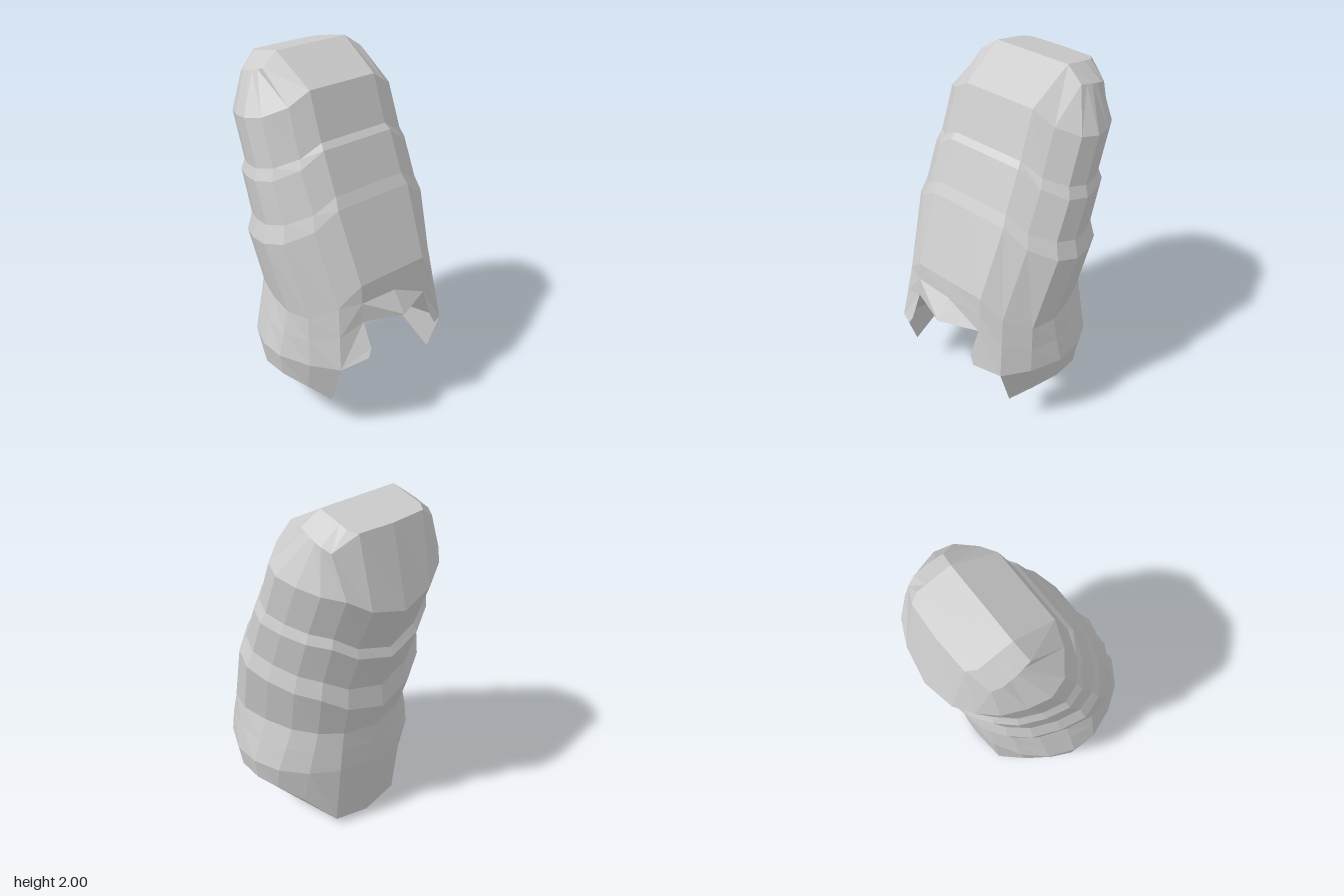
import * as THREE from 'three';

const material = new THREE.MeshStandardMaterial({ color: 0xcccccc, flatShading: true, side: THREE.DoubleSide });
const mix = THREE.MathUtils.lerp;

// Half section columns, from the front centre round the left side to the back centre
const across = [0, 0.46, 0.7, 0.93, 1, 0.94, 0.82, 0.64, 0.4, 0];
const depth = [0, 0, 0.05, 0.18, 0.34, 0.53, 0.72, 0.86, 0.95, 1];

// Mirror a half section into a full loop of 18 points
const flip = ([x, y, z]) => [-x, y, z];
const loop = (half) => [...half, ...half.slice(1, -1).reverse().map(flip)];

// A section dipping from the front (yF) past the sides (yS, yM) to the back (yB)
function section(w, yF, zF, yS, yM, yB, zB) {
  return loop(across.map((a, i) => {
    let y = yF;
    if (i === 2) y = mix(yF, yS, 0.6);
    else if (i > 2 && i < 8) y = mix(yS, yM, (i - 3) / 4);
    else if (i === 8) y = mix(yM, yB, 0.6);
    else if (i === 9) y = yB;
    return [a * w, y, mix(zF, zB, depth[i])];
  }));
}

function meshFrom(name, triangles) {
  const geometry = new THREE.BufferGeometry();
  geometry.setAttribute('position', new THREE.Float32BufferAttribute(triangles.flat(2), 3));
  geometry.computeVertexNormals();
  const mesh = new THREE.Mesh(geometry, material);
  mesh.name = name;
  return mesh;
}

const mirrored = (triangles) => triangles.map((t) => t.map(flip).reverse());
const quad = (a, b, c, d) => [[a, b, c], [a, c, d]];

// Skin a stack of loops from top to bottom, leaving out chosen columns
function skin(name, rings, open = []) {
  const triangles = [];
  for (let r = 0; r < rings.length - 1; r++) {
    const n = rings[r].length;
    for (let i = 0; i < n; i++) {
      if (open.includes(i)) continue;
      const j = (i + 1) % n;
      triangles.push(...quad(rings[r][i], rings[r + 1][i], rings[r + 1][j], rings[r][j]));
    }
  }
  return meshFrom(name, triangles);
}

export function createModel() {
  const group = new THREE.Group();

  // Crown: a flat roof running out to a bevelled shoulder
  const shoulder = [
    [0, 2, -0.2], [0.23, 2, -0.2], [0.33, 1.93, -0.18], [0.335, 1.92, -0.22], [0.34, 1.91, -0.26],
    [0.34, 1.9, -0.3], [0.34, 1.89, -0.34], [0.32, 1.87, -0.39], [0.2, 1.95, -0.44], [0, 1.95, -0.45],
  ];
  const roof = shoulder.map(([x, , z]) => {
    const back = Math.min(z, -0.2);
    return [Math.min(x, 0.23), 2 + 0.2 * (back + 0.2), back];
  });
  const ridge = roof.map(([, y, z]) => [0, y, z]);
  const capLine = section(0.47, 1.85, 0.05, 1.73, 1.65, 1.53, -0.565);
  group.add(skin('crown', [loop(ridge), loop(roof), loop(shoulder), capLine]));

  // Body: tapering sleeves with stepped bands between them
  const upper = section(0.475, 1.6, 0.14, 1.49, 1.4, 1.27, -0.47);
  const upperLow = section(0.5, 1.57, 0.17, 1.43, 1.35, 1.22, -0.49);
  const lower = section(0.5, 1.35, 0.265, 1.22, 1.11, 1.0, -0.42);
  const lowerLow = section(0.535, 1.29, 0.3, 1.13, 1.01, 0.87, -0.44);
  const waist = section(0.49, 0.91, 0.46, 0.73, 0.73, 0.71, -0.39);
  group.add(skin('upperSleeve', [capLine, upper]));
  group.add(skin('upperBand', [upper, upperLow]));
  group.add(skin('middleSleeve', [upperLow, lower]));
  group.add(skin('lowerBand', [lower, lowerLow]));
  group.add(skin('lowerSleeve', [lowerLow, waist]));

  // Flared skirt with a pointed lip over the front opening
  const flare = loop([
    [0, 0.69, 0.56], [0.225, 0.7, 0.48], [0.38, 0.46, 0.48], [0.48, 0.46, 0.34], [0.548, 0.46, 0.17],
    [0.545, 0.46, 0.02], [0.485, 0.46, -0.13], [0.37, 0.46, -0.26], [0.22, 0.46, -0.35], [0, 0.45, -0.385],
  ]);
  const brim = waist.map((p, i) => p.map((v, k) => mix(v, flare[i][k], 0.48)));
  brim[0][2] = 0.475;
  group.add(skin('skirt', [waist, brim, flare]));

  // Lower edge: side flaps and a hanging back flap, open at the front
  const rim = loop([
    [0, 0.69, 0.56], [0.225, 0.7, 0.48], [0.375, 0.21, 0.4], [0.46, 0.28, 0.3], [0.53, 0.33, 0.17],
    [0.53, 0.33, 0.02], [0.47, 0.29, -0.09], [0.37, 0.22, -0.21], [0.22, 0.05, -0.32], [0, 0.005, -0.335],
  ]);
  group.add(skin('lowerEdge', [flare, rim], [0, 1, 16, 17]));

  // Underside: slopes back from the lip to a crease, then down to the back flap
  const crease = [[0, 0.46, 0.1], [0.21, 0.47, 0.1], [0.33, 0.42, 0.12]];
  const underside = [
    ...quad(flare[0], crease[0], crease[1], flare[1]),
    ...quad(flare[1], crease[1], crease[2], flare[2]),
    ...quad(crease[0], rim[9], rim[8], crease[1]),
    ...quad(crease[1], rim[8], rim[6], crease[2]),
    [rim[6], rim[8], rim[7]],
    [flare[2], crease[2], rim[2]],
  ];
  for (let i = 2; i < 6; i++) underside.push([rim[i], crease[2], rim[i + 1]]);
  group.add(meshFrom('underside', [...underside, ...mirrored(underside)]));

  // Pointed tabs at the corners of the front opening
  const point = [0.225, 0.57, 0.545], tip = [0.25, 0.52, 0.555];
  const tab = [[flare[1], point, flare[2]], [point, tip, flare[2]]];
  group.add(meshFrom('leftTab', tab), meshFrom('rightTab', mirrored(tab)));
  return group;
}
